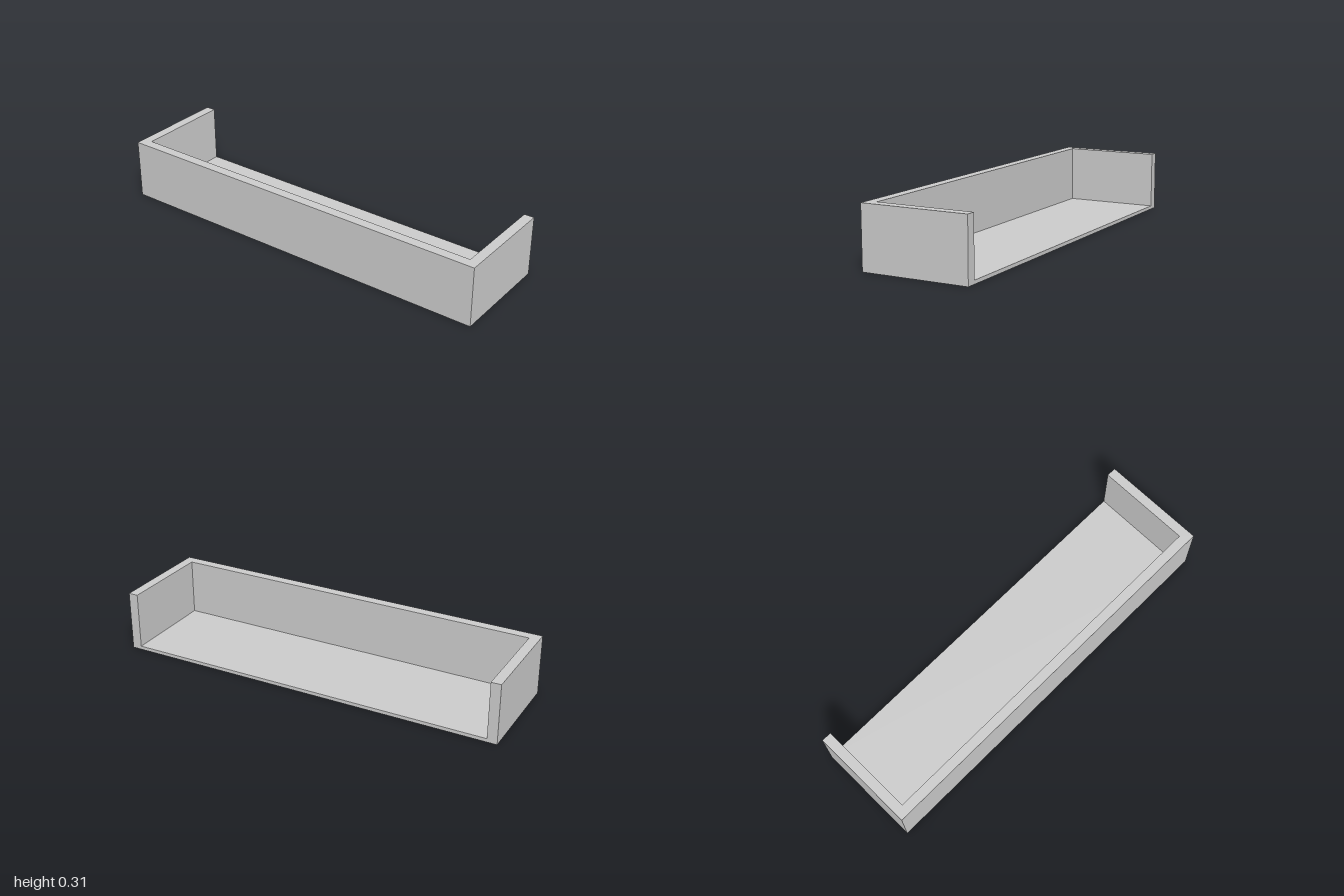
import * as THREE from 'three';

const HALF_WIDTH = 0.268, HALF_LENGTH = 1;
const HEIGHT = 0.306, WALL = 0.05, FLOOR = 0.018;

export function createModel() {
  const group = new THREE.Group();
  group.name = 'openTray';
  const material = new THREE.MeshStandardMaterial({ color: 0xcccccc });

  // Thin base plate under the whole tray
  const floor = new THREE.Mesh(
    new THREE.BoxGeometry(2 * HALF_WIDTH, FLOOR, 2 * HALF_LENGTH), material);
  floor.name = 'floor';
  floor.position.y = FLOOR / 2;
  group.add(floor);

  // U-shaped rim: a long wall at -x and two end walls, open towards +x
  const inner = HALF_LENGTH - WALL;
  const outline = new THREE.Shape([
    [-HALF_WIDTH, -HALF_LENGTH], [HALF_WIDTH, -HALF_LENGTH],
    [HALF_WIDTH, -inner], [-HALF_WIDTH + WALL, -inner],
    [-HALF_WIDTH + WALL, inner], [HALF_WIDTH, inner],
    [HALF_WIDTH, HALF_LENGTH], [-HALF_WIDTH, HALF_LENGTH],
  ].map(([x, y]) => new THREE.Vector2(x, y)));
  const wallGeometry = new THREE.ExtrudeGeometry(outline, { depth: HEIGHT - FLOOR, bevelEnabled: false });
  wallGeometry.rotateX(-Math.PI / 2);
  const walls = new THREE.Mesh(wallGeometry, material);
  walls.name = 'walls';
  walls.position.y = FLOOR;
  group.add(walls);

  return group;
}
